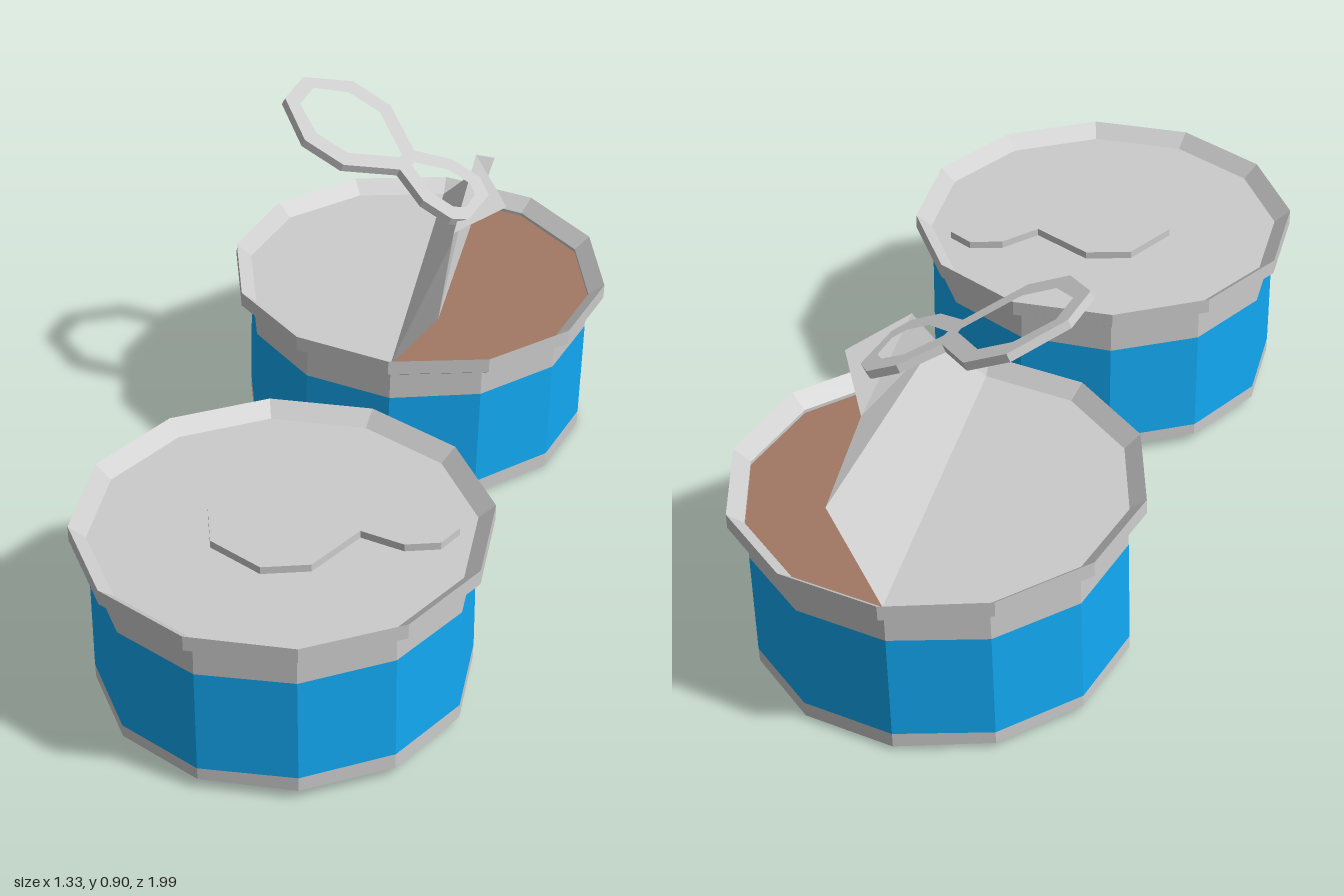
import * as THREE from 'three';

const mat = (color, side = THREE.FrontSide) =>
  new THREE.MeshStandardMaterial({ color, side, flatShading: true, roughness: 0.8 });
const metal = mat(0xcccccc);
const sheet = mat(0xcccccc, THREE.DoubleSide);
const label = mat(0x12aaf5);
const food = mat(0xa37864);

const SIDES = 12, BODY_R = 0.427, RIM_R = 0.468, LID_R = 0.43, LID_Y = 0.385;

function add(parent, name, geometry, material) {
  const mesh = new THREE.Mesh(geometry, material);
  mesh.name = name;
  parent.add(mesh);
  return mesh;
}

// Twelve-sided ring or cup turned from [radius, height] pairs
const turned = (pts) => new THREE.LatheGeometry(pts.map(([r, y]) => new THREE.Vector2(r, y)), SIDES);

// Flat twelve-sided disc facing up
function disc(radius, y) {
  return new THREE.CircleGeometry(radius, SIDES).rotateX(-Math.PI / 2).translate(0, y, 0);
}

// Slightly uneven height of the painted band's edges
function waver(geometry) {
  const p = geometry.attributes.position;
  for (let i = 0; i < p.count; i++) {
    const a = Math.atan2(p.getX(i), p.getZ(i));
    p.setY(i, p.getY(i) + 0.006 * Math.sin(2 * a + 0.5) * Math.cos(a));
  }
  return geometry;
}

// Bottom, label, shoulder and rim shared by both cans
function makeCan(name) {
  const can = new THREE.Group();
  can.name = name;
  const lower = 0.033, upper = 0.29;
  add(can, 'base', turned([[0, 0], [BODY_R, 0], [BODY_R, lower + 0.006]]), metal);
  add(can, 'labelBand', waver(turned([[BODY_R + 0.0005, lower], [BODY_R + 0.0005, upper]])), label);
  add(can, 'shoulderAndRim', turned([
    [BODY_R, upper - 0.006], [BODY_R, 0.365], [0.445, 0.365], [RIM_R, 0.38],
    [RIM_R, 0.416], [LID_R, LID_Y], [LID_R, LID_Y - 0.012],
  ]), metal);
  return can;
}

// Mirrored outline from the points of its upper half
function outline(half, PathType) {
  const lowerHalf = half.filter(([, y]) => y > 0).map(([x, y]) => [x, -y]).reverse();
  return new PathType([...half, ...lowerHalf].map(([x, y]) => new THREE.Vector2(x, y)));
}

// Pull tab: large finger loop at -x, small rivet loop at +x
function makeTab() {
  const shape = outline([
    [-0.272, 0.06], [-0.17, 0.165], [-0.06, 0.165], [0.055, 0.052],
    [0.145, 0.11], [0.225, 0.11], [0.272, 0.06],
  ], THREE.Shape);
  shape.holes.push(
    outline([[-0.235, 0.045], [-0.16, 0.113], [-0.07, 0.113], [0.036, 0.008]], THREE.Path),
    outline([[0.072, 0.008], [0.15, 0.062], [0.212, 0.062], [0.238, 0.035]], THREE.Path),
  );
  return new THREE.ExtrudeGeometry(shape, { depth: 0.02, bevelEnabled: false });
}

// Sheet made of flat polygons, each fanned from its first corner
function panels(polygons) {
  const out = [];
  for (const poly of polygons)
    for (let i = 1; i < poly.length - 1; i++) out.push(...poly[0], ...poly[i], ...poly[i + 1]);
  const g = new THREE.BufferGeometry();
  g.setAttribute('position', new THREE.Float32BufferAttribute(out, 3));
  g.computeVertexNormals();
  return g;
}

export function createModel() {
  const model = new THREE.Group();
  model.name = 'twoCans';

  // Closed can with its tab lying on the lid
  const closed = makeCan('closedCan');
  closed.position.set(-0.196, 0.025, 0.525);
  add(closed, 'lid', disc(LID_R, LID_Y), metal);
  const flatTab = add(closed, 'pullTab', makeTab(), metal);
  flatTab.rotation.x = -Math.PI / 2;
  flatTab.position.set(0.11, LID_Y - 0.002, 0);
  model.add(closed);

  // Open can, tilted slightly to one side
  const open = new THREE.Group();
  open.name = 'openCan';
  open.position.set(0.205, 0.011, -0.546);
  open.rotation.z = -0.027;
  const body = makeCan('canBody');
  body.rotation.y = Math.PI / 12;
  add(body, 'food', disc(LID_R, LID_Y - 0.008), food);
  open.add(body);

  // Half of the lid still lying flat, ending at the hinge corners
  const flat = [];
  for (let k = 0; k <= 6; k++) {
    const a = THREE.MathUtils.degToRad(105 + 30 * k);
    flat.push([LID_R * Math.cos(a), LID_Y, LID_R * Math.sin(a)]);
  }
  const hingeFront = flat[0], hingeBack = flat[6];

  // Other half peeled up in three bent panels
  const c = [0, 0.5, 0.4], d = [0.045, 0.66, 0.27], e = [0.19, 0.655, 0.14];
  const f = [0.147, 0.66, -0.12], g = [0.222, 0.556, -0.295];
  add(open, 'peeledLid', panels([
    flat, [hingeFront, hingeBack, g, c], [c, g, f, d], [d, f, e],
  ]), sheet);
  model.add(open);

  // Raised tab fixed to the edge of the peeled lid
  const big = new THREE.Vector3(-0.095, 0.893, -0.615);
  const small = new THREE.Vector3(0.35, 0.65, -0.405);
  const along = small.clone().sub(big).normalize();
  const across = new THREE.Vector3(along.z, 0, -along.x).normalize();
  const normal = along.clone().cross(across);
  const raisedTab = add(model, 'raisedPullTab', makeTab(), metal);
  raisedTab.quaternion.setFromRotationMatrix(new THREE.Matrix4().makeBasis(along, across, normal));
  raisedTab.position.copy(big).add(small).multiplyScalar(0.5).addScaledVector(normal, -0.008);

  return model;
}
